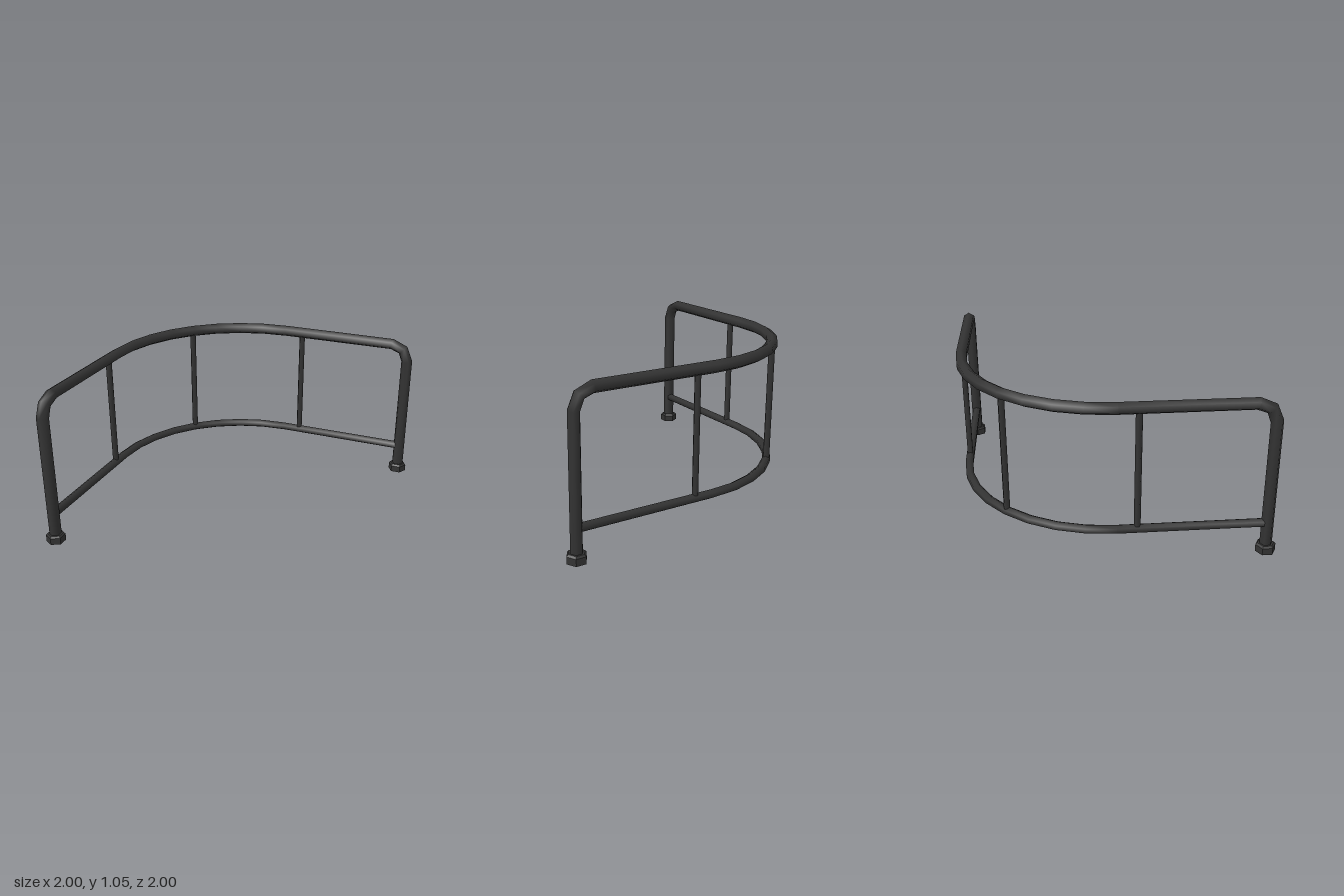
import * as THREE from 'three';

const R = 0.945; // radius of the quarter bend, centred on the origin
const END = 0.936; // distance of each leg along its straight run
const TOP = 1.01;
const LOW = 0.205;
const SIDES = 6;

// Plan of the rail: straight run, quarter arc, straight run.
// Each station has a position and an outward horizontal normal.
function planStations(end) {
  const list = [{ x: -R, z: end, n: [-1, 0, 0] }];
  for (let i = 0; i <= 8; i++) {
    const a = (i / 8) * Math.PI / 2;
    list.push({ x: -R * Math.cos(a), z: -R * Math.sin(a), n: [-Math.cos(a), 0, -Math.sin(a)] });
  }
  list.push({ x: end, z: -R, n: [0, 0, -1] });
  return list;
}

// Sweep a hexagon along points, keeping its corners above and below the path.
// The open ends are buried in the feet or legs.
function sweep(points, normals, radius) {
  const pos = [], index = [];
  points.forEach((p, i) => {
    const before = p.clone().sub(points[Math.max(i - 1, 0)]).normalize();
    const after = points[Math.min(i + 1, points.length - 1)].clone().sub(p).normalize();
    const t = before.add(after).normalize();
    const n = normals[i];
    const b = new THREE.Vector3().crossVectors(t, n).normalize();
    for (let j = 0; j < SIDES; j++) {
      const a = (j / SIDES) * Math.PI * 2;
      const v = p.clone().addScaledVector(b, radius * Math.cos(a)).addScaledVector(n, radius * Math.sin(a));
      pos.push(v.x, v.y, v.z);
    }
  });
  for (let i = 0; i < points.length - 1; i++) {
    for (let j = 0; j < SIDES; j++) {
      const a = i * SIDES + j, b = i * SIDES + (j + 1) % SIDES;
      index.push(a, a + SIDES, b, b, a + SIDES, b + SIDES);
    }
  }
  const g = new THREE.BufferGeometry();
  g.setAttribute('position', new THREE.Float32BufferAttribute(pos, 3));
  g.setIndex(index);
  g.computeVertexNormals();
  return g;
}

export function createModel() {
  const group = new THREE.Group();
  const metal = new THREE.MeshStandardMaterial({ color: 0x333333 });
  metal.name = 'dark metal';
  const add = (name, geometry) => {
    const mesh = new THREE.Mesh(geometry, metal);
    mesh.name = name;
    group.add(mesh);
    return mesh;
  };

  // Main tube: leg, rounded corner, top rail, rounded corner, leg
  const bend = 0.118;
  const corner = [[END, 0.02]];
  for (let i = 0; i <= 2; i++) {
    const a = (i / 2) * Math.PI / 2;
    corner.push([END - bend + bend * Math.cos(a), TOP - bend + bend * Math.sin(a)]);
  }
  const points = [], normals = [];
  const put = (x, y, z, n) => {
    points.push(new THREE.Vector3(x, y, z));
    normals.push(new THREE.Vector3(...n));
  };
  corner.forEach(([d, y]) => put(-R, y, d, [-1, 0, 0]));
  planStations(END).slice(1, -1).forEach(s => put(s.x, TOP, s.z, s.n));
  corner.reverse().forEach(([d, y]) => put(d, y, -R, [0, 0, -1]));
  add('legsAndTopRail', sweep(points, normals, 0.04));

  // Lower rail
  const low = planStations(0.925);
  add('lowerRail', sweep(
    low.map(s => new THREE.Vector3(s.x, LOW, s.z)),
    low.map(s => new THREE.Vector3(...s.n)), 0.03));

  // Upright bars between the rails
  const q = R * Math.SQRT1_2;
  [[-R, 0.125, 0], [-q, -q, Math.PI / 4], [0.125, -R, Math.PI / 2]].forEach(([x, z, turn]) => {
    const bar = add('uprightBar', new THREE.CylinderGeometry(0.021, 0.021, TOP - LOW, SIDES, 1, true));
    bar.position.set(x, (TOP + LOW) / 2, z);
    bar.rotation.y = turn;
  });

  // Hexagonal feet with a small chamfer on top
  [[-R, END, 0], [END, -R, Math.PI / 2]].forEach(([x, z, turn]) => {
    const profile = [[0, 0], [0.064, 0], [0.064, 0.046], [0.053, 0.058], [0, 0.058]];
    const g = new THREE.LatheGeometry(profile.map(p => new THREE.Vector2(...p)), SIDES).toNonIndexed();
    g.computeVertexNormals();
    const foot = add('foot', g);
    foot.position.set(x, 0, z);
    foot.rotation.y = turn;
  });

  return group;
}
